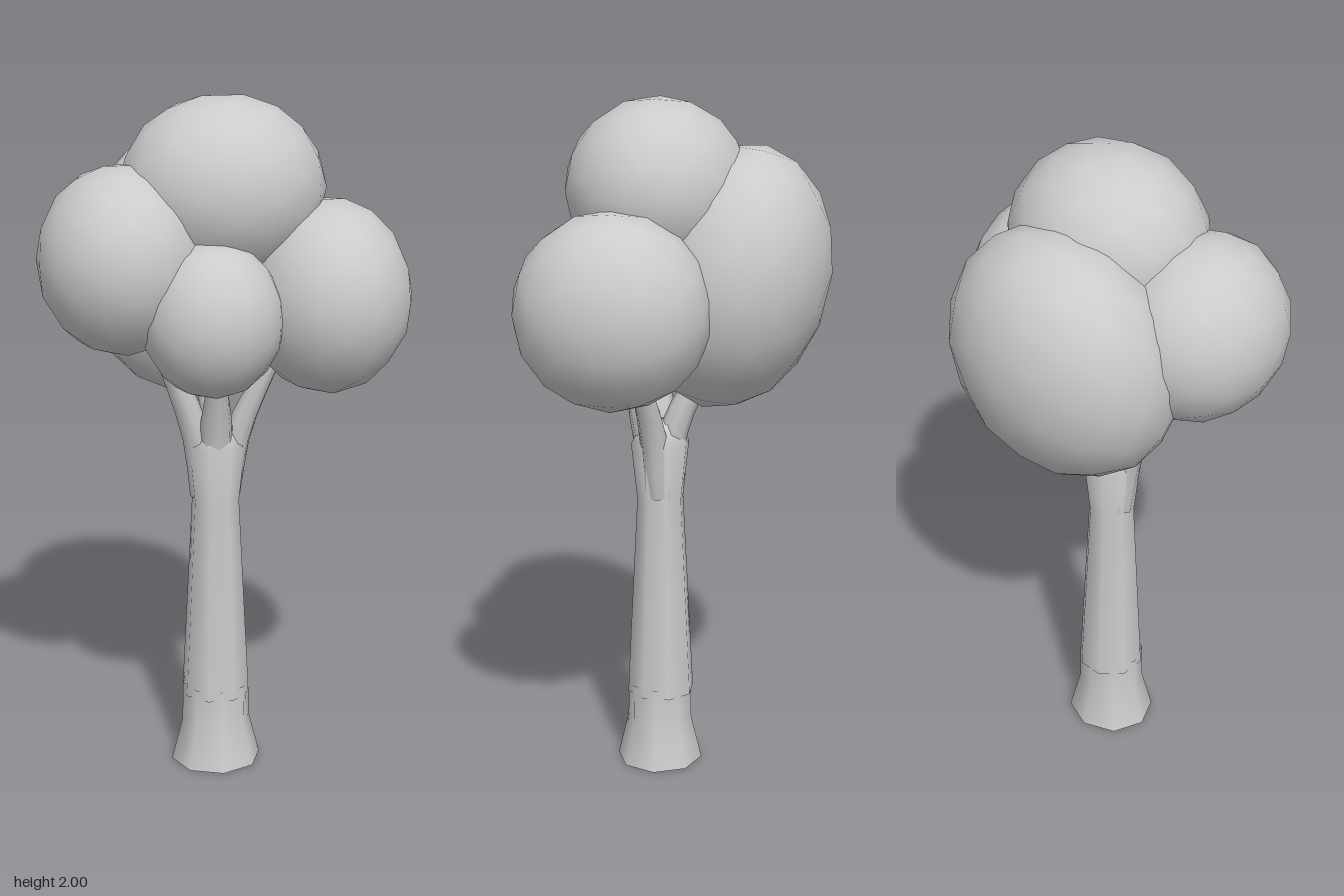
import * as THREE from 'three';

const bark = new THREE.MeshStandardMaterial({ color: 0xcccccc, side: THREE.DoubleSide });
const leaf = new THREE.MeshStandardMaterial({ color: 0xcccccc });

// Tube along a path whose radius tapers through the given values
function taperedTube(points, radii, steps = 6, sides = 8) {
  const curve = new THREE.CatmullRomCurve3(points.map(p => new THREE.Vector3(...p)));
  const geo = new THREE.TubeGeometry(curve, steps, 1, sides, false);
  const pos = geo.attributes.position;
  const v = new THREE.Vector3();
  for (let i = 0; i < pos.count; i++) {
    const t = Math.floor(i / (sides + 1)) / steps;
    const c = curve.getPointAt(t);
    const f = t * (radii.length - 1);
    const k = Math.min(Math.floor(f), radii.length - 2);
    const r = THREE.MathUtils.lerp(radii[k], radii[k + 1], f - k);
    v.fromBufferAttribute(pos, i).sub(c).multiplyScalar(r).add(c);
    pos.setXYZ(i, v.x, v.y, v.z);
  }
  return geo;
}

export function createModel() {
  const tree = new THREE.Group();
  tree.name = 'tree';
  const add = (name, geo, mat) => {
    const mesh = new THREE.Mesh(geo, mat);
    mesh.name = name;
    tree.add(mesh);
    return mesh;
  };
  const lathe = profile => new THREE.LatheGeometry(profile.map(p => new THREE.Vector2(...p)), 8);

  // Hollow flared foot, and the trunk rising out of it
  const foot = add('trunkFoot', lathe([[0.135, 0], [0.102, 0.13], [0.1, 0.25]]), bark);
  const trunk = add('trunk', lathe([
    [0.101, 0.22], [0.099, 0.27], [0.07, 0.83], [0.088, 1.0], [0.05, 1.06], [0, 1.07],
  ]), bark);
  foot.position.set(-0.015, 0, 0.055);
  foot.scale.z = 0.95;
  trunk.position.set(-0.015, 0, 0.052);
  trunk.rotation.y = Math.PI / 8;

  // Forked branches, one into each lower crown
  const branches = {
    rightBranch: [[[-0.04, 0.85, 0.05], [-0.075, 1.04, 0.06], [-0.2, 1.36, 0.08]], [0.05, 0.038, 0.022]],
    leftBranch: [[[0.01, 0.85, 0.05], [0.05, 1.04, 0.065], [0.17, 1.32, 0.11]], [0.05, 0.036, 0.02]],
    frontBranch: [[[-0.015, 0.85, 0.06], [-0.02, 1.04, 0.09], [-0.03, 1.3, 0.16]], [0.055, 0.046, 0.015]],
    backBranch: [[[-0.015, 0.85, 0.04], [-0.01, 1.04, 0.01], [-0.02, 1.22, -0.07]], [0.05, 0.042, 0.032]],
  };
  for (const [name, [path, radii]] of Object.entries(branches)) {
    add(name, taperedTube(path, radii), bark);
  }

  // Rounded leaf crowns: centre, radii, forward lean
  const crowns = {
    topCrown: [[0.005, 1.745, 0.055], [0.29, 0.257, 0.262], 0],
    leftCrown: [[0.285, 1.445, 0.14], [0.238, 0.277, 0.277], 0],
    rightCrown: [[-0.285, 1.56, 0.1], [0.237, 0.265, 0.265], 0],
    frontCrown: [[-0.06, 1.417, 0.25], [0.197, 0.218, 0.196], 0],
    backCrown: [[-0.035, 1.49, -0.16], [0.35, 0.385, 0.275], -0.22],
  };
  for (const [name, [centre, radii, lean]] of Object.entries(crowns)) {
    const crown = add(name, new THREE.IcosahedronGeometry(1, 2), leaf);
    crown.position.set(...centre);
    crown.scale.set(...radii);
    crown.rotation.x = lean;
  }
  return tree;
}
